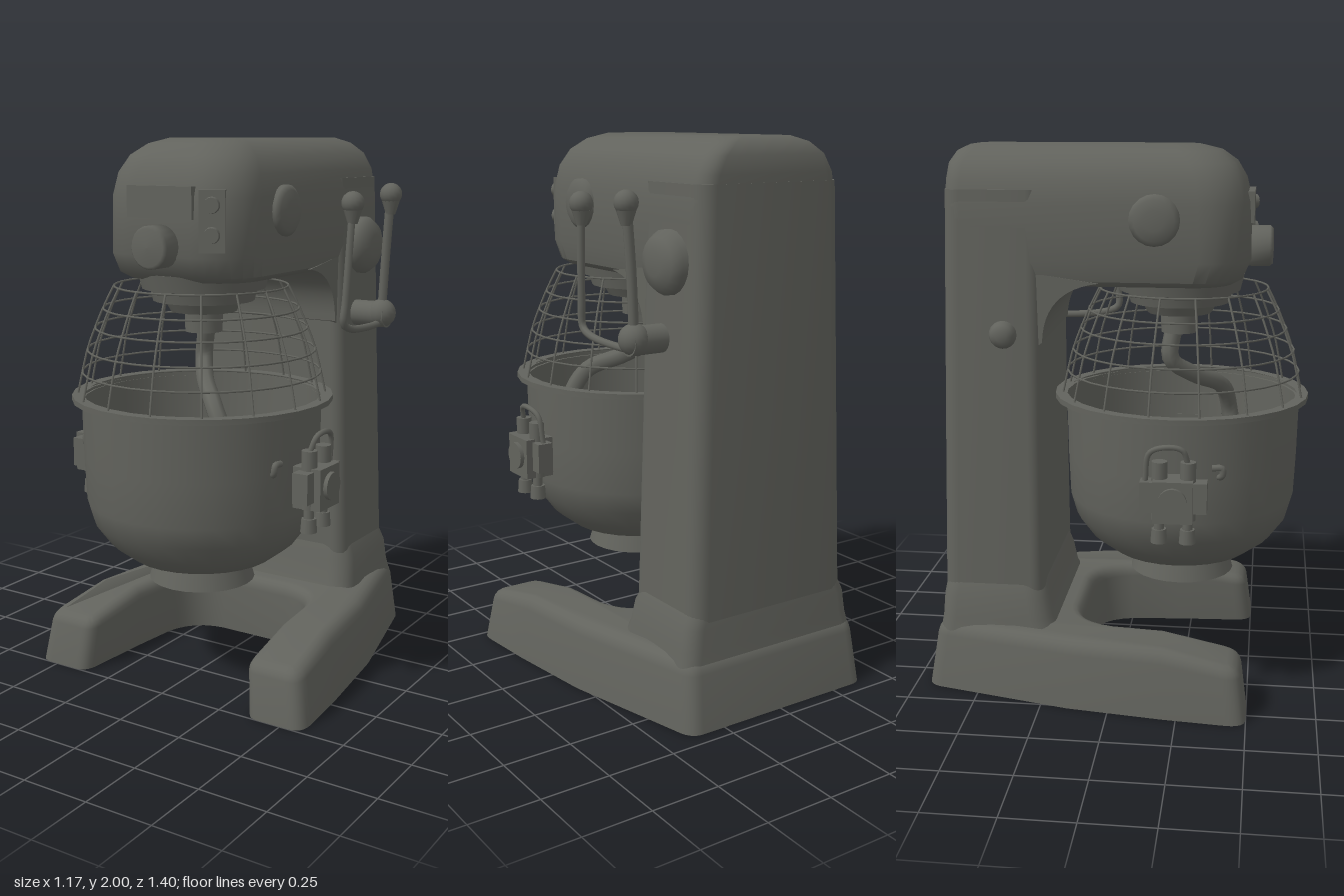
import * as THREE from 'three';
import { toCreasedNormals } from 'three/addons/utils/BufferGeometryUtils.js';

const V = (x, y, z) => new THREE.Vector3(x, y, z);

// Rounded rectangle in the xz plane; rb and rf are the back and front corner radii.
function ring([y, hx, zb, zf, rb, rf]) {
  const pts = [], n = 6;
  [[1, zf, rf], [-1, zf, rf], [-1, zb, rb], [1, zb, rb]].forEach(([sx, z, r], q) => {
    const cx = sx * (hx - r), cz = z + (z === zf ? -r : r);
    for (let i = 0; i <= n; i++) {
      const a = (q + i / n) * Math.PI / 2;
      pts.push([cx + r * Math.cos(a), y, cz + r * Math.sin(a)]);
    }
  });
  return pts;
}

// Closed skin through horizontal sections listed from the bottom up.
function loft(sections) {
  const rings = sections.map(ring), n = rings[0].length, pos = rings.flat(2), idx = [];
  for (let k = 0; k < rings.length - 1; k++) {
    for (let i = 0; i < n; i++) {
      const a = k * n + i, b = k * n + (i + 1) % n;
      idx.push(a, a + n, b, b, a + n, b + n);
    }
  }
  const top = (rings.length - 1) * n;
  for (let i = 1; i < n - 1; i++) idx.push(0, i, i + 1, top, top + i + 1, top + i);
  const g = new THREE.BufferGeometry();
  g.setAttribute('position', new THREE.Float32BufferAttribute(pos, 3));
  g.setIndex(idx);
  return toCreasedNormals(g, 0.75);
}

export function createModel() {
  const model = new THREE.Group();
  model.name = 'standMixer';
  const grey = new THREE.MeshStandardMaterial({ color: 0x62635d, side: THREE.DoubleSide });
  grey.name = 'dark grey metal';

  const add = (name, geo, x = 0, y = 0, z = 0, parent = model) => {
    const m = new THREE.Mesh(geo, grey);
    m.name = name;
    m.position.set(x, y, z);
    parent.add(m);
    return m;
  };
  const cyl = (r1, r2, h, n = 20) => new THREE.CylinderGeometry(r1, r2, h, n);
  const tube = (pts, r, seg = 24) =>
    new THREE.TubeGeometry(new THREE.CatmullRomCurve3(pts), seg, r, 8);
  const lathe = (pts, n = 32) =>
    new THREE.LatheGeometry(pts.map(p => new THREE.Vector2(...p)), n);

  // U-shaped base with two forward legs
  const s = new THREE.Shape();
  s.moveTo(-0.34, 0.7);
  s.lineTo(0.34, 0.7);
  s.quadraticCurveTo(0.385, 0.7, 0.4, 0.65);
  s.lineTo(0.52, 0.15);
  s.lineTo(0.565, -0.2);
  s.lineTo(0.585, -0.43);
  s.quadraticCurveTo(0.59, -0.5, 0.53, -0.5);
  s.lineTo(0.41, -0.5);
  s.quadraticCurveTo(0.36, -0.5, 0.355, -0.44);
  s.lineTo(0.34, -0.2);
  s.lineTo(0.32, 0.0);
  s.quadraticCurveTo(0.29, 0.14, 0.15, 0.15);
  s.lineTo(-0.15, 0.15);
  s.quadraticCurveTo(-0.29, 0.14, -0.32, 0.0);
  s.lineTo(-0.34, -0.2);
  s.lineTo(-0.355, -0.44);
  s.quadraticCurveTo(-0.36, -0.5, -0.41, -0.5);
  s.lineTo(-0.53, -0.5);
  s.quadraticCurveTo(-0.59, -0.5, -0.585, -0.43);
  s.lineTo(-0.565, -0.2);
  s.lineTo(-0.52, 0.15);
  s.lineTo(-0.4, 0.65);
  s.quadraticCurveTo(-0.385, 0.7, -0.34, 0.7);
  let base = new THREE.ExtrudeGeometry(s, {
    depth: 0.2, bevelThickness: 0.05, bevelSize: 0.045, bevelOffset: -0.045, bevelSegments: 4, curveSegments: 6,
  });
  base.rotateX(-Math.PI / 2);
  const p = base.attributes.position;
  for (let i = 0; i < p.count; i++) {
    // flat bottom, tapering walls and toes that slope down
    const y = Math.max(p.getY(i), 0), z = p.getZ(i), k = 1 - 0.22 * y;
    const toe = THREE.MathUtils.smoothstep(z, 0.25, 0.5);
    p.setXYZ(i, p.getX(i) * k, y * (1 - 0.2 * toe), z * k);
  }
  add('base', toCreasedNormals(base, 0.7));

  // Column, its foot collar and the head
  add('columnCollar', loft([
    [0.2, 0.385, -0.66, -0.2, 0.06, 0.08], [0.27, 0.37, -0.65, -0.23, 0.06, 0.08],
    [0.35, 0.36, -0.645, -0.245, 0.06, 0.08], [0.42, 0.33, -0.635, -0.265, 0.06, 0.08],
  ]));
  add('column', loft([
    [0.2, 0.345, -0.645, -0.26, 0.06, 0.05], [1.0, 0.32, -0.63, -0.265, 0.06, 0.05],
    [1.85, 0.295, -0.612, -0.265, 0.06, 0.05],
  ]));
  add('head', loft([
    [1.51, 0.255, -0.6, 0.41, 0.06, 0.15], [1.53, 0.285, -0.61, 0.445, 0.06, 0.17],
    [1.6, 0.3, -0.61, 0.475, 0.06, 0.18], [1.8, 0.298, -0.61, 0.47, 0.06, 0.18],
    [1.88, 0.282, -0.61, 0.45, 0.06, 0.17], [1.94, 0.25, -0.605, 0.415, 0.06, 0.16],
    [1.98, 0.2, -0.585, 0.36, 0.06, 0.14], [2.0, 0.14, -0.55, 0.28, 0.05, 0.1],
  ]));
  const gusset = new THREE.Shape();
  gusset.moveTo(0.3, 1.28);
  gusset.lineTo(0.262, 1.31);
  gusset.quadraticCurveTo(0.255, 1.5, 0.06, 1.525);
  gusset.lineTo(0.3, 1.56);
  const gussetGeo = new THREE.ExtrudeGeometry(gusset, { depth: 0.58, bevelEnabled: false });
  gussetGeo.rotateY(Math.PI / 2);
  add('neckFillet', toCreasedNormals(gussetGeo, 0.6), -0.29);

  // Control panel on the front of the head
  add('display', new THREE.BoxGeometry(0.27, 0.11, 0.03), 0, 1.785, 0.468);
  const knob = add('speedKnob', lathe([[0, -0.05], [0.075, -0.05], [0.075, 0.03], [0.065, 0.042], [0, 0.045]], 20), 0, 1.635, 0.51);
  knob.rotation.x = Math.PI / 2;
  const buttons = new THREE.Group();
  buttons.name = 'buttonPanel';
  buttons.position.set(0.195, 1.725, 0.445);
  buttons.rotation.y = 0.45;
  model.add(buttons);
  add('buttonPlate', new THREE.BoxGeometry(0.09, 0.21, 0.04), 0, 0, 0, buttons);
  for (const y of [0.055, -0.045]) {
    add('button', cyl(0.026, 0.03, 0.04, 14), 0, y, 0.025, buttons).rotation.x = Math.PI / 2;
  }

  // Round covers on the sides of the head and column
  const cover = (name, side, y, z, r, d) => {
    const g = lathe([[r, -0.03], [r, d * 0.4], [r * 0.8, d * 0.8], [r * 0.4, d], [0, d]], 20);
    add(name, g, side * 0.295, y, z).rotation.z = -side * Math.PI / 2;
  };
  cover('sideCover', 1, 1.75, 0.14, 0.09, 0.035);
  cover('sideCover', -1, 1.75, 0.14, 0.09, 0.035);
  cover('gearHub', 1, 1.59, -0.44, 0.11, 0.075);
  cover('columnCap', -1, 1.34, -0.4, 0.05, 0.055);

  // Two ball-ended levers on a shared pivot
  const knobEnd = (x, y, z) => {
    add('leverKnob', new THREE.SphereGeometry(0.042, 14, 10), x, y, z);
    add('leverFerrule', cyl(0.034, 0.018, 0.05, 12), x, y - 0.05, z);
  };
  add('leverPivot', cyl(0.05, 0.05, 0.15), 0.37, 1.33, -0.4).rotation.z = Math.PI / 2;
  add('leverPivotBall', new THREE.SphereGeometry(0.055, 16, 12), 0.42, 1.335, -0.4);
  add('rearLever', tube([V(0.42, 1.34, -0.4), V(0.43, 1.55, -0.402), V(0.445, 1.77, -0.4)], 0.018));
  knobEnd(0.447, 1.79, -0.4);
  add('frontLever', tube([V(0.42, 1.3, -0.4), V(0.42, 1.295, -0.3), V(0.425, 1.31, -0.12),
    V(0.425, 1.335, -0.072), V(0.43, 1.42, -0.075), V(0.44, 1.75, -0.098)], 0.014, 40));
  knobEnd(0.44, 1.77, -0.1);

  // Planetary hub and dough hook
  add('mixingHub', toCreasedNormals(lathe([
    [0, 1.31], [0.068, 1.31], [0.07, 1.38], [0.12, 1.385], [0.14, 1.42], [0.185, 1.425],
    [0.195, 1.465], [0.225, 1.47], [0.24, 1.53], [0, 1.53],
  ], 24), 0.6), 0, 0, 0.21);
  add('doughHook', tube([V(0, 1.33, 0.19), V(-0.02, 1.21, 0.18), V(0.04, 1.14, 0.26), V(0.15, 1.07, 0.37),
    V(0.21, 0.95, 0.4), V(0.14, 0.79, 0.42), V(-0.06, 0.68, 0.36), V(0, 0.58, 0.22)], 0.033, 48));

  // Bowl, rim and foot
  const bz = 0.225;
  add('bowl', lathe([
    [0, 0.45], [0.2, 0.455], [0.27, 0.475], [0.35, 0.535], [0.405, 0.61], [0.428, 0.69], [0.435, 0.85], [0.44, 1.075],
  ], 28), 0, 0, bz);
  add('bowlRim', toCreasedNormals(lathe([[0.435, 1.065], [0.478, 1.065], [0.478, 1.085], [0.435, 1.085]], 28), 0.5), 0, 0, bz - 0.005);
  add('bowlFoot', cyl(0.175, 0.198, 0.08, 24), 0, 0.42, bz + 0.005);

  // Wire guard between bowl and head
  const guard = [[0.455, 1.08], [0.435, 1.17], [0.415, 1.25], [0.385, 1.33], [0.355, 1.4], [0.315, 1.48]];
  for (const [r, y] of guard) {
    add('guardRing', new THREE.TorusGeometry(r, 0.004, 5, 32), 0, y, bz).rotation.x = Math.PI / 2;
  }
  for (let i = 0; i < 16; i++) {
    const a = (i + 0.5) / 16 * Math.PI * 2;
    add('guardWire', tube(guard.map(([r, y]) => V(r * Math.cos(a), y, r * Math.sin(a))), 0.004, 8), 0, 0, bz);
  }

  // Bowl clamps on both sides
  for (const side of [1, -1]) {
    const clamp = new THREE.Group();
    clamp.name = side > 0 ? 'leftClamp' : 'rightClamp';
    clamp.position.set(side * 0.485, 0, 0.23);
    model.add(clamp);
    add('clampBody', new THREE.BoxGeometry(0.11, 0.15, 0.14), 0, 0.805, 0, clamp);
    add('clampFlange', new THREE.BoxGeometry(0.06, 0.11, 0.235), 0, 0.815, 0, clamp);
    add('clampFace', cyl(0.05, 0.05, 0.02), side * 0.06, 0.81, 0, clamp).rotation.z = Math.PI / 2;
    for (const z of [0.05, -0.05]) {
      add('clampPost', cyl(0.028, 0.028, 0.21, 12), 0, 0.835, z, clamp);
      add('clampStem', cyl(0.018, 0.018, 0.06, 12), 0, 0.71, z, clamp);
      add('clampNut', cyl(0.026, 0.03, 0.05, 12), 0, 0.67, z, clamp);
    }
    add('clampHandle', tube([V(0, 0.93, 0.05), V(side * 0.015, 0.985, 0.03), V(side * 0.02, 0.995, -0.03),
      V(side * 0.01, 0.97, -0.085), V(0, 0.87, -0.1)], 0.01), 0, 0, 0, clamp);
    add('bowlHook', tube([V(-side * 0.1, 0.86, 0.14), V(-side * 0.075, 0.87, 0.165),
      V(-side * 0.07, 0.9, 0.165), V(-side * 0.07, 0.9, 0.13)], 0.012, 12), 0, 0, 0, clamp);
  }

  return model;
}
